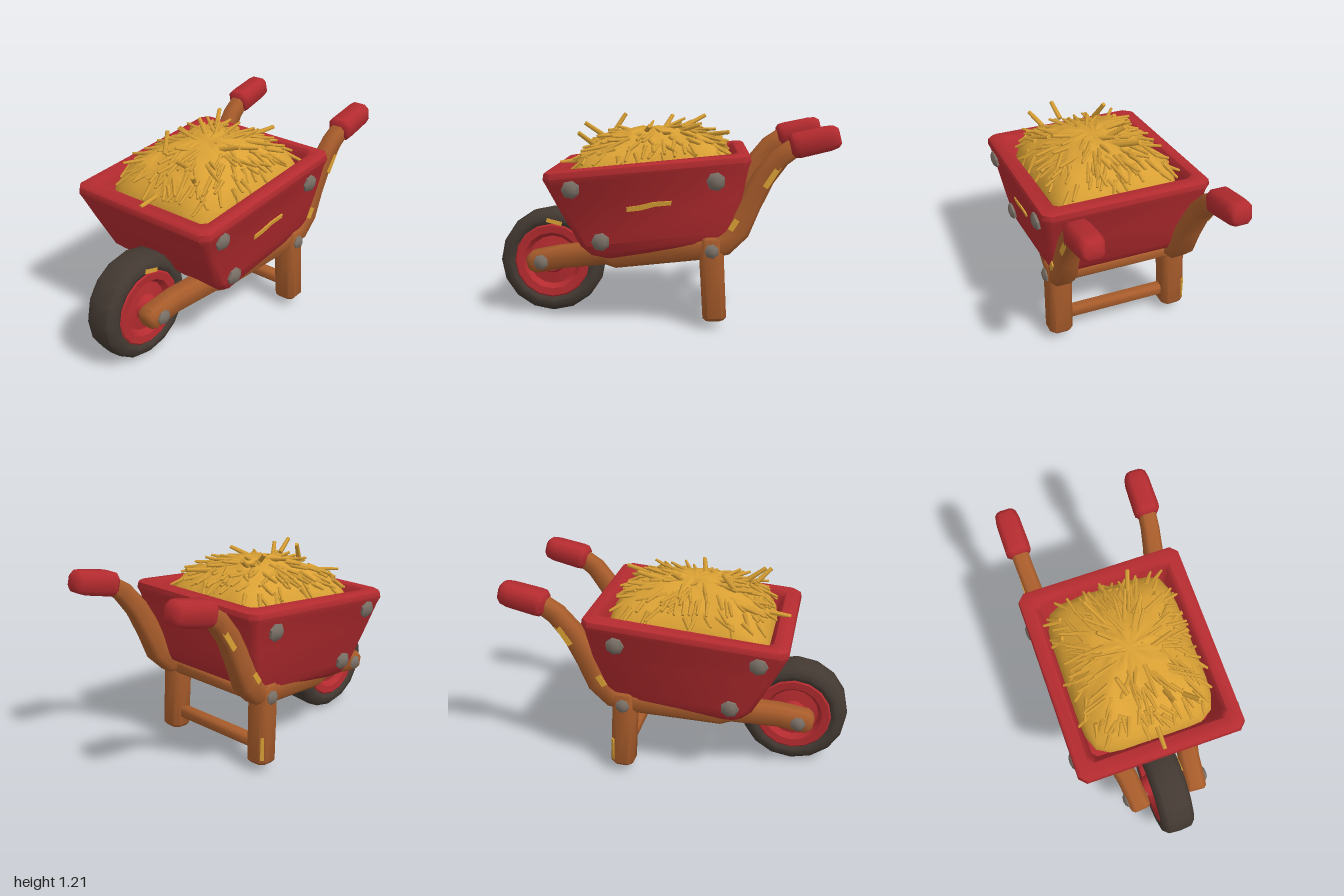
import * as THREE from 'three';
import { mergeGeometries, mergeVertices, toCreasedNormals } from 'three/addons/utils/BufferGeometryUtils.js';

const material = (name, color) => Object.assign(new THREE.MeshStandardMaterial({ color }), { name });
const V = (x, y, z) => new THREE.Vector3(x, y, z);

// Skin a list of equal-sized rings, closing both ends with fans
function loft(rings, crease) {
  const n = rings[0].length, pos = [], idx = [];
  rings.forEach(r => r.forEach(p => pos.push(p.x, p.y, p.z)));
  for (let i = 0; i < rings.length - 1; i++)
    for (let j = 0; j < n; j++) {
      const a = i * n + j, b = i * n + (j + 1) % n;
      idx.push(a, b, b + n, a, b + n, a + n);
    }
  [0, rings.length - 1].forEach((k, end) => {
    const c = pos.length / 3, m = V(0, 0, 0);
    rings[k].forEach(p => m.addScaledVector(p, 1 / n));
    pos.push(m.x, m.y, m.z);
    for (let j = 0; j < n; j++) {
      const a = k * n + j, b = k * n + (j + 1) % n;
      if (end) idx.push(a, b, c);
      else idx.push(b, a, c);
    }
  });
  const g = new THREE.BufferGeometry();
  g.setAttribute('position', new THREE.Float32BufferAttribute(pos, 3));
  g.setIndex(idx);
  return toCreasedNormals(g, crease);
}

// Chamfered rectangle of half sizes a, b; counter-clockwise
const chamfered = (a, b, c) => [[a, b - c], [a - c, b], [c - a, b], [-a, b - c],
  [-a, c - b], [c - a, -b], [a - c, -b], [a, c - b]];

// Timber along stations [x, y, z, half height, half depth], with softened ends
function timber(stations) {
  const at = stations.map(s => V(s[0], s[1], s[2]));
  const last = at.length - 1, rings = [];
  stations.forEach(([, , , h, d], i) => {
    const t = at[Math.min(i + 1, last)].clone().sub(at[Math.max(i - 1, 0)]).normalize();
    const ref = Math.abs(t.z) > 0.8 ? V(0, 1, 0) : V(0, 0, 1);
    const u = ref.clone().addScaledVector(t, -ref.dot(t)).normalize();
    const w = t.clone().cross(u);
    const ring = (k, shift) => chamfered(d * k, h * k, Math.min(d, h) * k * 0.42)
      .map(([p, q]) => at[i].clone().addScaledVector(u, p).addScaledVector(w, q).addScaledVector(t, shift));
    const soft = Math.min(d, h) * 0.3;
    if (i === 0) rings.push(ring(0.75, 0), ring(1, soft));
    else if (i === last) rings.push(ring(1, -soft), ring(0.75, 0));
    else rings.push(ring(1, 0));
  });
  return loft(rings, 0.9);
}

function seeded(seed) {
  return () => (seed = (seed * 16807) % 2147483647) / 2147483647;
}

// Map a point of the unit hemisphere onto the squared-off straw heap
function onHeap(x, y, z) {
  const k = Math.hypot(x, z) / (Math.pow(x ** 6 + z ** 6, 1 / 6) || 1);
  const px = -0.06 + 0.475 * x * k;
  return V(px, 0.86 + 0.285 * y + 0.06 * px, 0.392 * z * k);
}

// Tapered stalk of straw pointing along dir, starting at the fraction back behind p
function stalk(p, dir, len, r0, r1, back) {
  const g = new THREE.CylinderGeometry(r1, r0, len, 5).translate(0, len * (0.5 - back), 0);
  g.applyQuaternion(new THREE.Quaternion().setFromUnitVectors(V(0, 1, 0), dir));
  return g.translate(p.x, p.y, p.z);
}

export function createModel() {
  const red = material('red paint', 0xb42b2f), wood = material('wood', 0xa85c2b);
  const rubber = material('rubber', 0x433932), straw = material('straw', 0xd9a034);
  const iron = material('iron', 0x7b7167);
  const model = new THREE.Group();
  model.name = 'wheelbarrow';
  const add = (name, geo, mat, parent = model) => {
    const m = new THREE.Mesh(geo, mat);
    m.name = name;
    parent.add(m);
    return m;
  };

  // Tray: outside from the floor to the rim, then down the inside
  const trayRing = ([x0, x1, z, yl, yr, c]) => chamfered((x1 - x0) / 2, z, c).map(([a, b]) => {
    const x = a + (x0 + x1) / 2;
    return V(x, yl + (yr - yl) * (x - x0) / (x1 - x0), -b);
  });
  add('tray', loft([
    [-0.32, 0.36, 0.37, 0.40, 0.51, 0.03],
    [-0.40, 0.39, 0.415, 0.425, 0.53, 0.04],
    [-0.46, 0.41, 0.43, 0.48, 0.58, 0.04],
    [-0.57, 0.46, 0.462, 0.69, 0.78, 0.035],
    [-0.64, 0.49, 0.485, 0.83, 0.94, 0.035],
    [-0.66, 0.505, 0.50, 0.87, 0.98, 0.04],
    [-0.655, 0.50, 0.495, 0.905, 1.01, 0.04],
    [-0.635, 0.48, 0.475, 0.92, 1.02, 0.04],
    [-0.57, 0.43, 0.42, 0.92, 1.02, 0.03],
    [-0.55, 0.41, 0.40, 0.89, 0.99, 0.03],
    [-0.47, 0.37, 0.37, 0.62, 0.70, 0.03],
  ].map(trayRing), 0.85), red);
  // Board under the tray floor
  const board = add('floorBoard', new THREE.BoxGeometry(0.46, 0.06, 0.4), red);
  board.position.set(0.02, 0.43, 0);
  board.rotation.z = 0.16;

  // Straw heap
  const random = seeded(71);
  let heap = new THREE.SphereGeometry(1, 40, 10, 0, Math.PI * 2, 0, Math.PI / 2);
  heap.deleteAttribute('uv');
  heap.deleteAttribute('normal');
  heap = mergeVertices(heap, 1e-4);
  const hp = heap.attributes.position;
  for (let i = 0; i < hp.count; i++) {
    const p = onHeap(hp.getX(i), hp.getY(i), hp.getZ(i));
    hp.setXYZ(i, p.x, p.y + (random() - 0.5) * 0.025, p.z);
  }
  heap.computeVertexNormals();
  add('strawHeap', heap, straw);

  // Loose stalks combed outward, lying close to the heap
  const stalks = [];
  const onRing = (phi, r) => onHeap(Math.cos(phi) * r, Math.sqrt(1 - r * r), Math.sin(phi) * r);
  for (let i = 0; i < 150; i++) {
    const phi = i * 2.39996, r = 0.15 + 0.77 * Math.sqrt(random());
    const p = onRing(phi, r);
    const dir = onRing(phi, r + 0.05).sub(p).normalize();
    dir.add(V((random() - 0.5) * 0.9, 0.1 + random() * 0.35, (random() - 0.5) * 0.9)).normalize();
    const len = r > 0.75 ? 0.08 + random() * 0.06 : 0.1 + random() * 0.09;
    stalks.push(stalk(p, dir, len, 0.015, 0.008, 0.3));
  }
  // A few long stalks that stick out
  [[-0.36, 1.1, 0.1, -0.1, 0.07, 0.02], [-0.31, 1.1, -0.1, 0.07, 0.11, -0.04], [0.12, 1.13, -0.08, 0.13, 0.07, -0.08],
    [-0.5, 0.94, 0.01, -0.13, -0.02, 0], [0.24, 1.1, 0.1, 0.15, 0.02, 0.05], [-0.1, 1.12, 0.12, 0.03, 0.04, 0.13],
    [0.0, 1.12, -0.05, 0.05, 0.08, -0.1], [-0.4, 1.05, 0.2, -0.08, 0.07, 0.06]].forEach(([x, y, z, a, b, c]) => {
    const d = V(a, b, c), len = d.length();
    stalks.push(stalk(V(x, y, z), d.normalize(), len, 0.016, 0.013, 0));
  });
  add('strawStalks', mergeGeometries(stalks), straw);

  // Wheel
  const wheel = new THREE.Group();
  wheel.name = 'wheel';
  wheel.position.set(-0.68, 0.325, 0);
  model.add(wheel);
  const lathe = pts => toCreasedNormals(new THREE.LatheGeometry(
    pts.map(([r, y]) => new THREE.Vector2(r, y)), 16).rotateX(Math.PI / 2), 0.7);
  add('tyre', lathe([[0.21, -0.06], [0.225, -0.09], [0.255, -0.105], [0.29, -0.097], [0.316, -0.07],
    [0.322, 0], [0.316, 0.07], [0.29, 0.097], [0.255, 0.105], [0.225, 0.09], [0.21, 0.06]]), rubber, wheel);
  const rim = [[0.238, 0.085], [0.22, 0.1], [0.175, 0.096], [0.15, 0.06], [0.08, 0.07], [0.06, 0.125], [0, 0.125]];
  add('hub', lathe([...rim.map(([r, y]) => [r, -y]).reverse(), ...rim]), red, wheel);
  add('axle', new THREE.CylinderGeometry(0.035, 0.035, 0.36, 8).rotateX(Math.PI / 2), iron).position.set(-0.705, 0.34, 0);

  // Bolt: flattened ball on the side s
  const bolt = (name, x, y, z, r, s, tilt = 0) => {
    const g = new THREE.SphereGeometry(r, 7, 5).rotateX(Math.PI / 2).scale(1, 1, 0.55);
    const m = add(name, toCreasedNormals(g, 0.6), iron);
    m.position.set(x, y, z * s);
    m.rotation.x = tilt * s;
  };

  // Parts mirrored on both sides
  [1, -1].forEach(s => {
    const side = s > 0 ? 'front' : 'back';
    const sided = list => list.map(([x, y, z, h, d]) => [x, y, z * s, h, d]);
    add(side + 'Beam', timber(sided([
      [-0.805, 0.335, 0.18, 0.048, 0.058], [-0.765, 0.343, 0.183, 0.066, 0.062], [-0.6, 0.378, 0.2, 0.066, 0.062],
      [-0.33, 0.42, 0.26, 0.068, 0.065], [-0.27, 0.418, 0.27, 0.084, 0.065],
      [0.22, 0.475, 0.35, 0.07, 0.068], [0.36, 0.505, 0.365, 0.07, 0.068], [0.435, 0.585, 0.37, 0.072, 0.065],
      [0.50, 0.73, 0.375, 0.066, 0.058], [0.58, 0.885, 0.385, 0.06, 0.052], [0.67, 1.0, 0.395, 0.055, 0.05],
      [0.77, 1.07, 0.40, 0.05, 0.05]])), wood);
    add(side + 'Grip', timber(sided([[0.72, 1.058, 0.402, 0.066, 0.072],
      [0.77, 1.069, 0.402, 0.07, 0.073], [0.93, 1.105, 0.404, 0.067, 0.07], [0.99, 1.12, 0.405, 0.06, 0.062]])), red);
    add(side + 'Leg', timber(sided([[0.29, 0.55, 0.363, 0.07, 0.072], [0.29, 0.42, 0.363, 0.07, 0.073],
      [0.31, 0.05, 0.37, 0.068, 0.072]])), wood);

    bolt(side + 'TrayBoltA', -0.50, 0.82, 0.485, 0.056, s, 0.15);
    bolt(side + 'TrayBoltB', 0.31, 0.87, 0.482, 0.056, s, 0.15);
    bolt(side + 'TrayBoltC', -0.34, 0.515, 0.438, 0.056, s, 0.15);
    bolt(side + 'LegBolt', 0.29, 0.465, 0.436, 0.044, s);
    bolt(side + 'AxleBolt', -0.72, 0.35, 0.246, 0.048, s);

    // Straw flecks stuck to the handle
    [[0.622, 0.89, 0.437, 0.14, 0.032, 1.0], [0.412, 0.617, 0.437, 0.07, 0.032, 1.0]].forEach(([x, y, z, l, h, a]) => {
      const fleck = add(side + 'HandleFleck', new THREE.BoxGeometry(l, h, 0.009), straw);
      fleck.position.set(x, y, z * s);
      fleck.rotation.z = a;
    });
  });

  // Cross bars between the beams and between the legs
  const bar = (name, x, y, half, h, d) => add(name, timber([[x, y, -half, d, h], [x, y, half, d, h]]), wood);
  bar('frontCrossBar', -0.25, 0.383, 0.28, 0.05, 0.05);
  bar('rearCrossBar', 0.31, 0.465, 0.33, 0.04, 0.045);
  bar('legCrossBar', 0.30, 0.155, 0.33, 0.036, 0.036);

  // Straw flecks on the tray side, the tyre and the back leg
  const streak = new THREE.Shape([[-0.13, -0.032], [-0.05, -0.022], [0.03, 0.001], [0.12, 0.01], [0.125, 0.034],
    [0.02, 0.026], [-0.06, 0.006], [-0.13, -0.004]].map(p => new THREE.Vector2(...p)));
  const trayFleck = add('trayFleck', new THREE.ExtrudeGeometry(streak, { depth: 0.009, bevelEnabled: false }), straw);
  trayFleck.position.set(-0.06, 0.725, 0.459);
  trayFleck.rotation.x = 0.152;
  const tyreFleck = add('tyreFleck', new THREE.BoxGeometry(0.095, 0.024, 0.009), straw);
  tyreFleck.position.set(-0.662, 0.567, 0.104);
  tyreFleck.rotation.z = -0.25;
  const legFleck = add('legFleck', new THREE.BoxGeometry(0.022, 0.14, 0.009), straw);
  legFleck.position.set(0.359, 0.16, -0.427);
  legFleck.rotation.y = -Math.PI / 4;
  return model;
}
